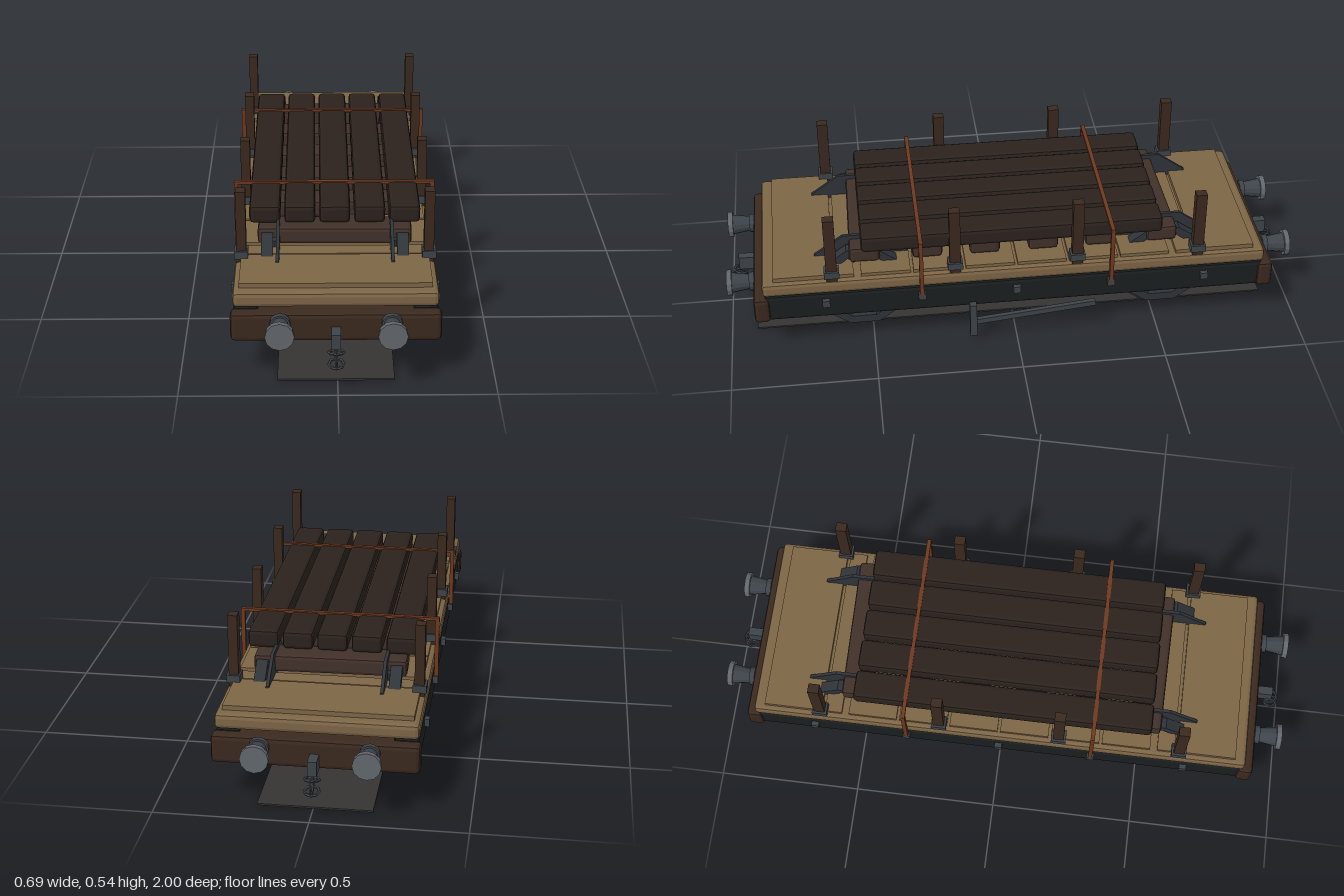
import * as THREE from 'three';
import { RoundedBoxGeometry } from 'three/addons/geometries/RoundedBoxGeometry.js';

const mat = (color) => new THREE.MeshStandardMaterial({ color, flatShading: true });
const M = {
  deck: mat(0x7d6546), beam: mat(0x3a291e), log: mat(0x2b221d), bearer: mat(0x41302a),
  sole: mat(0x1b1e20), iron: mat(0x3d444a), wheel: mat(0x2f3439), buffer: mat(0x62676d),
  rust: mat(0x6e3820), bed: mat(0x353433),
};

export function createModel() {
  const model = new THREE.Group();
  const body = new THREE.Group();
  body.name = 'flatWagon';
  body.position.x = -0.005;
  model.add(body);

  const add = (name, geometry, material, x, y, z, parent = body) => {
    const mesh = new THREE.Mesh(geometry, material);
    mesh.name = name;
    mesh.position.set(x, y, z);
    parent.add(mesh);
    return mesh;
  };
  const box = (name, m, w, h, d, x, y, z, parent) =>
    add(name, new THREE.BoxGeometry(w, h, d), m, x, y, z, parent);
  // Box with chamfered edges
  const chamfer = (name, m, w, h, d, x, y, z, r = 0.012) =>
    add(name, new RoundedBoxGeometry(w, h, d, 1, r), m, x, y, z);
  const axisX = (r, len, sides) => new THREE.CylinderGeometry(r, r, len, sides).rotateZ(Math.PI / 2);
  const axisZ = (rFront, rBack, len, sides) =>
    new THREE.CylinderGeometry(rFront, rBack, len, sides).rotateX(Math.PI / 2);
  const sides = [-1, 1];

  // Track bed
  box('trackBed', M.bed, 0.372, 0.006, 1.82, 0, 0.004, 0);

  // Underframe
  box('underfloor', M.beam, 0.49, 0.03, 1.74, 0, 0.22, 0);
  for (const s of sides) {
    chamfer('endBeam', M.beam, 0.664, 0.096, 0.055, 0, 0.188, s * 0.88, 0.014);
    chamfer('soleBar', M.sole, 0.077, 0.1, 1.74, s * 0.284, 0.192, 0, 0.012);
    for (const z of [-0.66, 0, 0.66]) box('soleBolt', M.iron, 0.022, 0.026, 0.026, s * 0.328, 0.208, z);
  }

  // Deck with a raised layer of boards
  chamfer('deckSlab', M.deck, 0.65, 0.05, 1.75, 0, 0.268, 0, 0.014);
  for (const s of sides) {
    box('endBoard', M.deck, 0.61, 0.018, 0.205, 0, 0.3, s * 0.733);
    for (const z of [0.09, 0.27, 0.45]) box('deckBoard', M.deck, 0.61, 0.014, 0.17, 0, 0.298, s * z);
    box('deckBatten', M.deck, 0.61, 0.014, 0.06, 0, 0.299, s * 0.59);
  }

  // Wheelsets
  const ring = (R, r) => {
    const pts = (q) => Array.from({ length: 10 }, (_, i) =>
      new THREE.Vector2(q * Math.cos(i * Math.PI / 5), q * Math.sin(i * Math.PI / 5)));
    const shape = new THREE.Shape(pts(R));
    shape.holes.push(new THREE.Path(pts(r)));
    return new THREE.ExtrudeGeometry(shape, { depth: 0.038, bevelEnabled: false })
      .translate(0, 0, -0.019).rotateY(Math.PI / 2);
  };
  for (const z of [-0.53, 0.53]) {
    const set = new THREE.Group();
    set.name = 'wheelset';
    set.position.set(0, 0.198, z);
    body.add(set);
    add('axle', axisX(0.022, 0.5, 8), M.wheel, 0, 0, 0, set);
    for (const s of sides) {
      add('wheelFlange', axisX(0.197, 0.011, 10), M.wheel, s * 0.186, 0, 0, set);
      add('wheelTread', ring(0.166, 0.135), M.wheel, s * 0.221, 0, 0, set);
      add('wheelHub', axisX(0.042, 0.055, 10), M.wheel, s * 0.218, 0, 0, set);
      for (let i = 0; i < 10; i++) {
        const spoke = new THREE.BoxGeometry(0.03, 0.12, 0.016).translate(0, 0.085, 0)
          .rotateX((i + 0.5) * Math.PI / 5);
        add('wheelSpoke', spoke, M.wheel, s * 0.207, 0, 0, set);
      }
    }
  }

  // Cargo: cross bearers carrying five long timbers
  [-0.515, -0.305, -0.1, 0.1, 0.305, 0.515].forEach((z, i) => {
    const bearer = chamfer('crossBearer', M.bearer, 0.505, 0.058, 0.105, 0, 0.341, z);
    bearer.rotation.y = [0.02, -0.012, 0.008, -0.01, 0.012, -0.015][i];
  });
  for (let i = -2; i <= 2; i++)
    chamfer('longTimber', M.log, 0.102, 0.061, 1.045, i * 0.115, 0.401, 0.008, 0.013);

  // Stakes in iron sockets
  for (const s of sides)
    for (const z of [-0.635, -0.212, 0.212, 0.635]) {
      box('stake', M.beam, 0.032, 0.25, 0.038, s * 0.303, 0.415, z);
      box('stakeSocket', M.iron, 0.045, 0.026, 0.052, s * 0.304, 0.319, z);
    }

  // Tie rods over the load
  for (const z of [-0.33, 0.33]) {
    box('tieRodTop', M.rust, 0.676, 0.01, 0.014, 0, 0.431, z);
    for (const s of sides) {
      box('tieRodLeg', M.rust, 0.014, 0.22, 0.014, s * 0.332, 0.325, z);
      box('tieRodAnchor', M.iron, 0.022, 0.026, 0.026, s * 0.328, 0.21, z);
    }
  }

  // Buffers and couplings, the same at both ends
  for (const s of sides) {
    const end = new THREE.Group();
    end.name = 'couplingEnd';
    end.rotation.y = s > 0 ? 0 : Math.PI;
    body.add(end);
    for (const x of [-0.175, 0.175]) {
      add('bufferBase', axisZ(0.033, 0.033, 0.018, 12), M.iron, x, 0.208, 0.914, end);
      add('bufferShaft', axisZ(0.036, 0.025, 0.07, 12), M.iron, x, 0.208, 0.949, end);
      add('bufferHead', axisZ(0.046, 0.046, 0.018, 12), M.buffer, x, 0.208, 0.991, end);
    }
    box('drawhook', M.iron, 0.03, 0.05, 0.058, 0, 0.168, 0.934, end);
    const link = (tiltX) => new THREE.TorusGeometry(0.024, 0.005, 5, 8).rotateX(tiltX);
    add('couplingLink', link(Math.PI / 2 - 0.2), M.iron, 0, 0.133, 0.96, end);
    add('couplingLink', link(0).rotateY(Math.PI / 2), M.iron, 0, 0.113, 0.965, end);
    add('couplingLink', link(Math.PI / 2 + 0.2), M.iron, 0, 0.094, 0.965, end);
  }

  // Hand brake on the left side
  box('brakeHanger', M.iron, 0.025, 0.132, 0.024, 0.342, 0.099, 0.155);
  const lever = box('brakeLever', M.iron, 0.016, 0.02, 0.43, 0.34, 0.11, -0.062);
  lever.rotation.x = Math.atan2(0.045, 0.425);

  return model;
}
